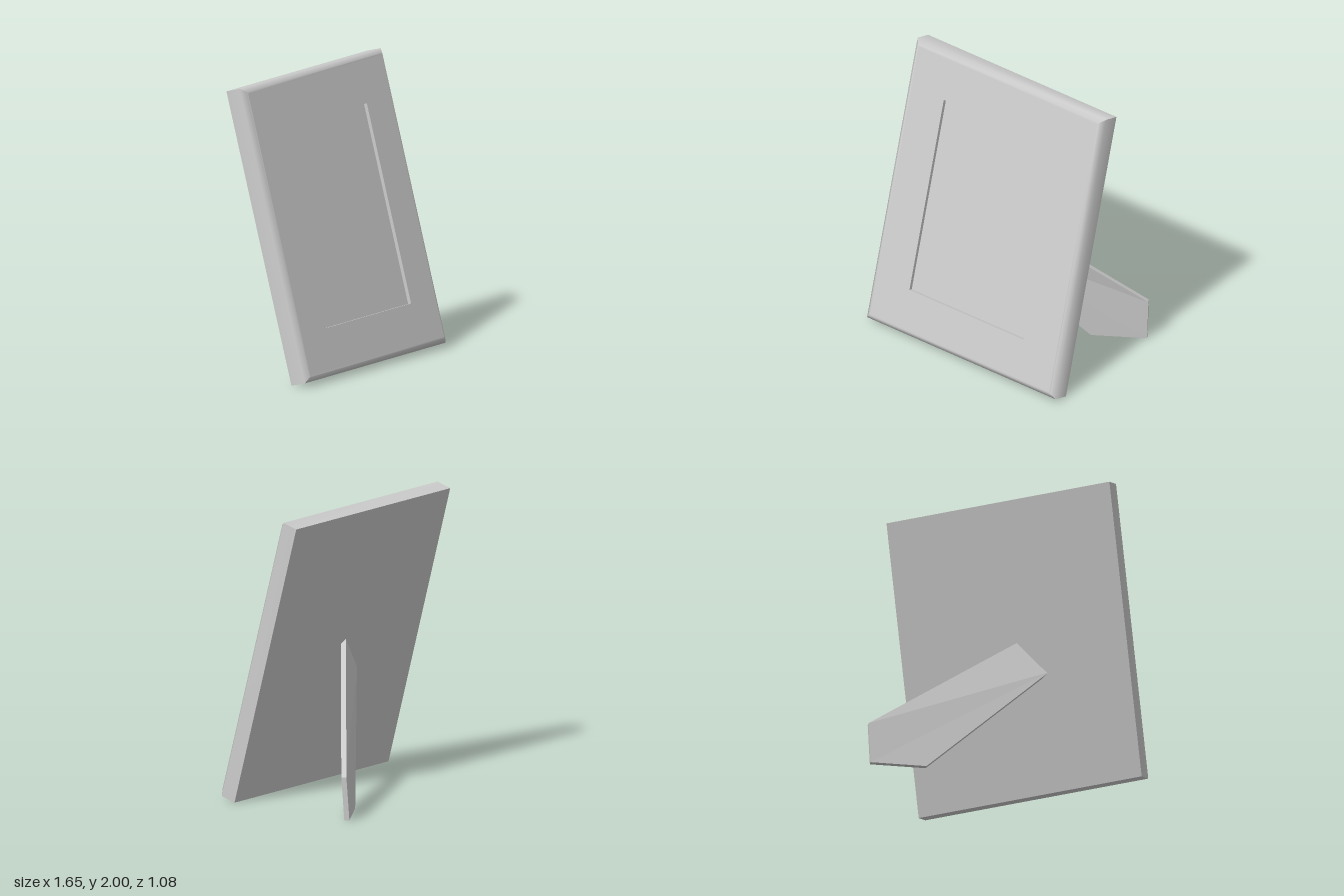
import * as THREE from 'three';
import { toCreasedNormals } from 'three/addons/utils/BufferGeometryUtils.js';

const TILT = 0.267;   // backward lean of the frame
const WIDTH = 1.65, HEIGHT = 2.043;

// Joins rings of equal point count, with fan caps at the ends.
function loft(rings, capEnd, crease) {
  const pos = [];
  const tri = (a, b, c) => pos.push(...a, ...b, ...c);
  const n = rings[0].length;
  for (let r = 0; r < rings.length - 1; r++) {
    const a = rings[r], b = rings[r + 1];
    for (let i = 0; i < n; i++) {
      const j = (i + 1) % n;
      tri(a[i], a[j], b[j]);
      tri(a[i], b[j], b[i]);
    }
  }
  const first = rings[0], last = rings[rings.length - 1];
  for (let i = 1; i < n - 1; i++) {
    tri(first[0], first[i + 1], first[i]);
    if (capEnd) tri(last[0], last[i], last[i + 1]);
  }
  const g = new THREE.BufferGeometry();
  g.setAttribute('position', new THREE.Float32BufferAttribute(pos, 3));
  g.computeVertexNormals();
  return crease ? toCreasedNormals(g, crease) : g;
}

// Rectangle ring at depth z, from y0 to y1.
const rect = (halfX, y0, y1, z) =>
  [[-halfX, y0, z], [halfX, y0, z], [halfX, y1, z], [-halfX, y1, z]];

const inset = (d, z) => rect(WIDTH / 2 - d, d, HEIGHT - d, z);

export function createModel() {
  const model = new THREE.Group();
  model.name = 'pictureFrame';
  const material = new THREE.MeshStandardMaterial({ color: 0xcccccc });
  const add = (parent, name, geometry) => {
    const mesh = new THREE.Mesh(geometry, material);
    mesh.name = name;
    parent.add(mesh);
    return mesh;
  };

  // Leaning board: local y runs up the frame, local z out of its face
  const board = new THREE.Group();
  board.name = 'leaningBoard';
  board.rotation.x = -TILT;
  board.position.z = 0.41;
  model.add(board);

  // Surround with softened front edge and a sunken window
  const win = { halfX: 0.5, y0: 0.323, y1: 1.712, floor: 0.12 };
  add(board, 'frame', loft([
    inset(0, 0),
    inset(0, 0.115),
    inset(0.033, 0.145),
    inset(0.045, 0.145),
    rect(win.halfX, win.y0, win.y1, 0.145),
    rect(win.halfX, win.y0, win.y1, win.floor),
  ], false, 0.9));

  // Flat picture at the bottom of the window
  const picture = add(board, 'picture',
    new THREE.PlaneGeometry(win.halfX * 2, win.y1 - win.y0));
  picture.position.set(0, (win.y0 + win.y1) / 2, win.floor);

  // Slanted back leg: a five-sided plate, its upper end set into the board
  const outer = [
    [-0.23, 0.8, 0.2], [0.44, 0, -0.33], [0.76, 0, -0.54],
    [0.78, 0.3, -0.53], [-0.05, 1.05, 0.15],
  ];
  const inner = outer.map(([x, y, z]) => [x + 0.019, y, z + 0.029]);
  add(model, 'backLeg', loft([outer, inner], true));

  return model;
}
